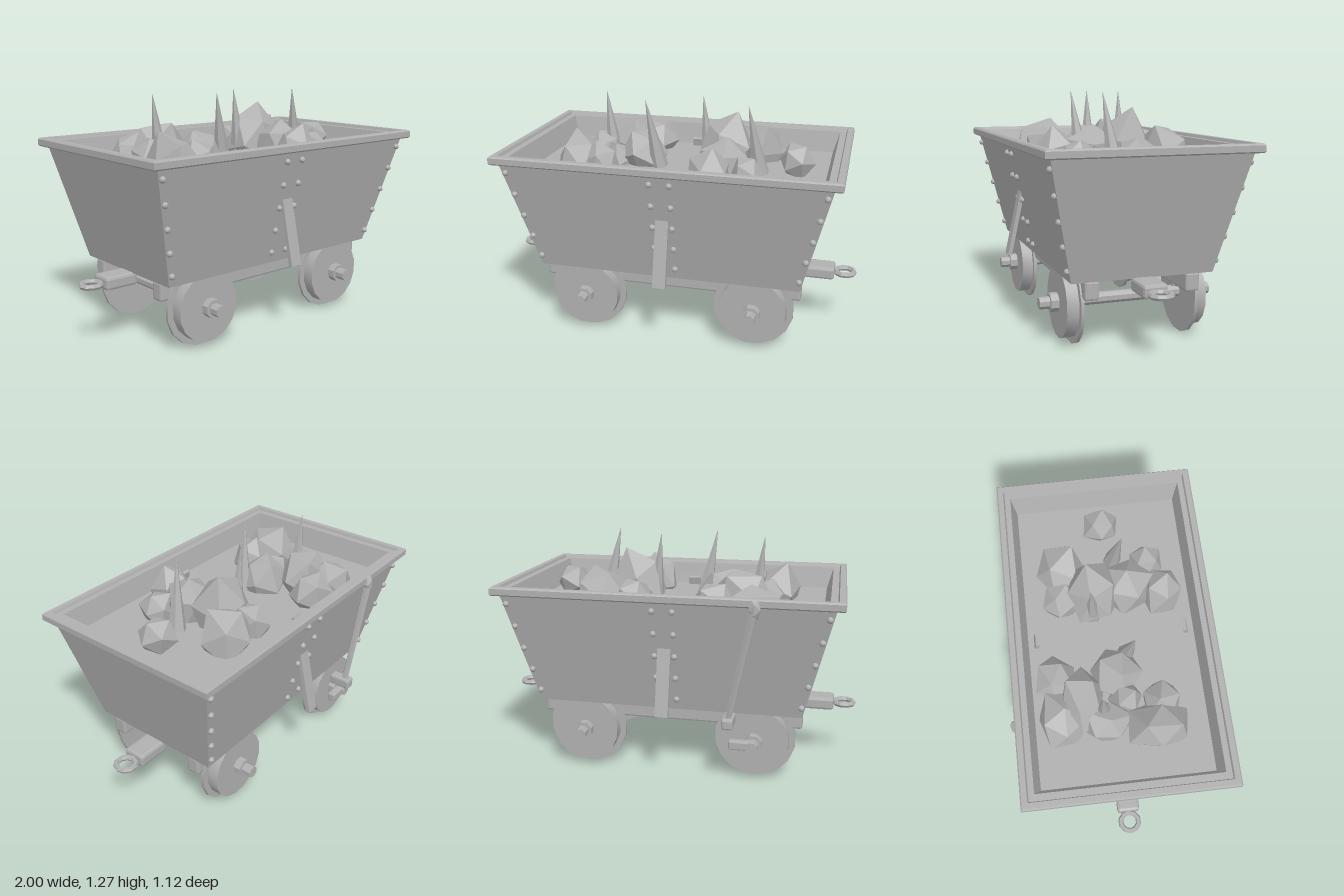
import * as THREE from 'three';
import { toCreasedNormals } from 'three/addons/utils/BufferGeometryUtils.js';
import { RoundedBoxGeometry } from 'three/addons/geometries/RoundedBoxGeometry.js';

const grey = new THREE.MeshStandardMaterial({ color: 0xb0b0b0 });
grey.name = 'plain grey';

const CZ = 0.015; // middle of the cart body in z

function flat(geo) {
  const g = geo.index ? geo.toNonIndexed() : geo;
  g.computeVertexNormals();
  return g;
}

function add(parent, name, geo, x = 0, y = 0, z = 0) {
  const m = new THREE.Mesh(geo, grey);
  m.name = name;
  m.position.set(x, y, z);
  parent.add(m);
  return m;
}

// Rectangular rings [halfX, halfZ, y] joined in order and capped at both ends
function loft(rings) {
  const pts = [];
  const ring = ([hx, hz, y]) => [[-hx, y, hz], [hx, y, hz], [hx, y, -hz], [-hx, y, -hz]];
  const quad = (a, b, c, d) => pts.push(...a, ...b, ...c, ...a, ...c, ...d);
  const r = rings.map(ring);
  for (let i = 0; i < r.length - 1; i++) {
    for (let k = 0; k < 4; k++) {
      const n = (k + 1) % 4;
      quad(r[i][k], r[i][n], r[i + 1][n], r[i + 1][k]);
    }
  }
  const [b, t] = [r[0], r[r.length - 1]];
  quad(b[3], b[2], b[1], b[0]);
  quad(t[0], t[1], t[2], t[3]);
  const g = new THREE.BufferGeometry();
  g.setAttribute('position', new THREE.Float32BufferAttribute(pts, 3));
  g.computeVertexNormals();
  return g;
}

// Tapered rod between two points
function rod(parent, name, from, to, r0, r1, sides) {
  const a = new THREE.Vector3(...from), b = new THREE.Vector3(...to);
  const dir = b.clone().sub(a);
  const g = flat(new THREE.CylinderGeometry(r1, r0, dir.length(), sides));
  const m = add(parent, name, g);
  m.position.copy(a).add(b).multiplyScalar(0.5);
  m.quaternion.setFromUnitVectors(new THREE.Vector3(0, 1, 0), dir.normalize());
  return m;
}

// Disc whose axis runs along z
function disc(parent, name, r, z0, z1, sides, x, y) {
  const g = new THREE.CylinderGeometry(r, r, Math.abs(z1 - z0), sides);
  g.rotateY(Math.PI / sides).rotateX(Math.PI / 2);
  return add(parent, name, toCreasedNormals(g, 0.5), x, y, (z0 + z1) / 2);
}

// Irregular chunk: icosahedron with corners pushed in and out
function chunk(rx, ry, rz, seed) {
  const g = new THREE.IcosahedronGeometry(1, 0);
  g.rotateY(seed * 1.3).rotateX(seed * 0.7);
  const p = g.attributes.position;
  const v = new THREE.Vector3();
  for (let i = 0; i < p.count; i++) {
    v.fromBufferAttribute(p, i);
    const h = Math.sin(Math.round(v.x * 50) * 12.99 + Math.round(v.y * 50) * 78.23
      + Math.round(v.z * 50) * 37.7 + seed * 9.1) * 43758.5;
    v.multiplyScalar(0.84 + 0.32 * (h - Math.floor(h)));
    p.setXYZ(i, v.x * rx, v.y * ry, v.z * rz);
  }
  return flat(g);
}

export function createModel() {
  const model = new THREE.Group();
  model.name = 'oreCart';
  const cart = new THREE.Group();
  cart.name = 'cart';
  cart.position.z = CZ;
  model.add(cart);

  // Tapered tub with overhanging rim, stepped ledge and load floor
  add(cart, 'tub', loft([
    [0.72, 0.375, 0.375], [0.87, 0.512, 0.99], [0.905, 0.54, 0.99], [0.912, 0.547, 0.997],
    [0.912, 0.547, 1.028], [0.905, 0.54, 1.036], [0.876, 0.512, 1.036], [0.87, 0.506, 1.02],
    [0.834, 0.476, 1.02], [0.8, 0.45, 0.9],
  ]));

  // Rivets and slanted braces on both long sides
  for (const s of [1, -1]) {
    for (let i = 0; i < 5; i++) {
      const y = 0.435 + i * 0.1265;
      const t = (y - 0.375) / 0.615;
      const z = s * (0.375 + 0.137 * t + 0.004);
      for (const x of [-0.7 - 0.15 * t, -0.053, 0.053, 0.7 + 0.15 * t]) {
        add(cart, 'rivet', flat(new THREE.IcosahedronGeometry(0.017, 1)), x, y, z);
      }
    }
    const brace = add(cart, 'brace', new THREE.BoxGeometry(0.07, 0.58, 0.022), 0, 0.662, s * 0.459);
    brace.rotation.x = -s * 0.215;
  }

  // Chassis beams and bearing blocks
  for (const s of [1, -1]) {
    add(cart, 'chassisBeam', flat(new RoundedBoxGeometry(1.44, 0.1, 0.075, 1, 0.012)), 0, 0.33, s * 0.267);
    for (const x of [-0.47, 0.47]) {
      add(cart, 'bearingBlock', flat(new RoundedBoxGeometry(0.09, 0.1, 0.042, 1, 0.008)), x, 0.305, s * 0.27);
    }
  }

  // Axles with flanged wheels
  for (const x of [-0.47, 0.47]) {
    disc(cart, 'axle', 0.032, -0.472, 0.472, 8, x, 0.22);
    for (const s of [1, -1]) {
      disc(cart, 'wheelTread', 0.186, s * 0.3, s * 0.375, 16, x, 0.22);
      disc(cart, 'wheelFlange', 0.22, s * 0.296, s * 0.313, 16, x, 0.22);
      disc(cart, 'wheelHub', 0.05, s * 0.37, s * 0.417, 8, x, 0.22);
    }
  }

  // Couplers with rings
  for (const s of [1, -1]) {
    add(cart, 'couplerBlock', flat(new RoundedBoxGeometry(0.185, 0.07, 0.125, 1, 0.015)), s * 0.785, 0.344, 0);
    const ring = new THREE.TorusGeometry(0.051, 0.015, 6, 10).rotateX(Math.PI / 2);
    add(cart, 'couplerRing', flat(ring), s * 0.934, 0.344, 0);
  }

  // Brake lever on the back with pivot, foot and hub arm
  rod(model, 'brakeLever', [-0.35, 0.39, -0.508], [-0.475, 1.0, -0.533], 0.018, 0.022, 6);
  add(model, 'leverPivot', flat(new THREE.IcosahedronGeometry(0.034, 0)), -0.475, 0.985, -0.53)
    .scale.set(1, 1.6, 0.85);
  add(model, 'leverFoot', flat(new RoundedBoxGeometry(0.06, 0.06, 0.125, 1, 0.012)), -0.35, 0.378, -0.486);
  add(model, 'hubArm', flat(new RoundedBoxGeometry(0.13, 0.05, 0.045, 1, 0.008)), -0.41, 0.225, -0.428);

  // Heaped ore: x, z, radii in x, y, z, and top height
  const ore = [
    [-0.45, -0.29, 0.16, 0.14, 0.13, 1.07], [-0.24, -0.31, 0.13, 0.13, 0.11, 1.08],
    [-0.37, -0.18, 0.18, 0.16, 0.12, 1.12], [-0.49, -0.06, 0.12, 0.14, 0.13, 1.07],
    [-0.22, 0.01, 0.14, 0.16, 0.13, 1.1], [-0.36, 0.05, 0.1, 0.12, 0.09, 1.02],
    [-0.54, 0.2, 0.14, 0.17, 0.17, 1.1], [-0.4, 0.24, 0.11, 0.13, 0.11, 1.06],
    [0.39, -0.22, 0.16, 0.16, 0.15, 1.11], [0.21, -0.24, 0.11, 0.13, 0.11, 1.07],
    [0.22, -0.06, 0.17, 0.23, 0.17, 1.2], [0.26, 0.13, 0.16, 0.18, 0.16, 1.13],
    [0.21, 0.32, 0.13, 0.16, 0.12, 1.11], [0.4, 0.25, 0.1, 0.11, 0.1, 1.05],
    [0.63, 0.03, 0.1, 0.1, 0.1, 1.07],
  ];
  ore.forEach(([x, z, rx, ry, rz, top], i) => {
    add(model, 'oreChunk', chunk(rx, ry, rz, i + 1), x, top - ry, z);
  });

  // Crystal spikes: base x, base z, tip x, tip z
  const spikes = [
    [-0.43, -0.07, -0.472, -0.077], [-0.12, 0.075, -0.187, 0.112],
    [0.13, -0.07, 0.093, -0.077], [0.445, 0.07, 0.378, 0.112],
  ];
  for (const [bx, bz, tx, tz] of spikes) {
    rod(model, 'crystalSpike', [bx, 0.9, bz], [tx, 1.275, tz], 0.05, 0.001, 6);
  }
  return model;
}
